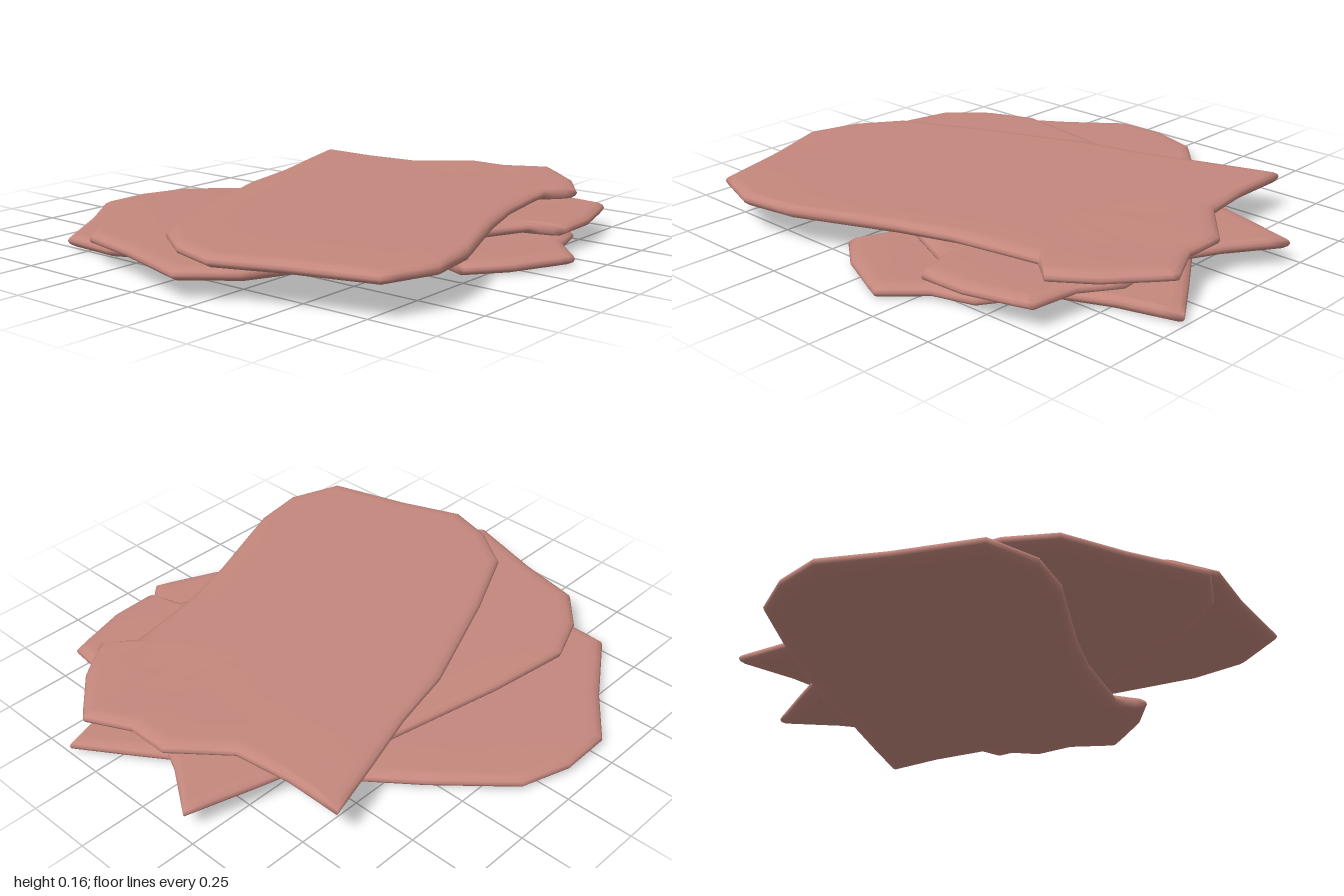
import * as THREE from 'three';

// Slice outline (x, z), clockwise seen from above, starting at the pointed corner
const OUTLINE = [
  [-0.59, -0.68], [-0.37, -0.68], [-0.15, -0.71], [0.04, -0.87], [0.2, -0.87], [0.36, -0.95],
  [0.41, -0.91], [0.55, -0.79], [0.65, -0.65], [0.57, -0.55], [0.63, -0.22], [0.7, 0.0], [0.85, 0.37],
  [0.88, 0.57], [0.81, 0.77], [0.51, 0.86], [0.28, 0.95], [0.1, 0.9], [-0.06, 0.79],
  [-0.2, 0.5], [-0.38, 0.06], [-0.44, -0.2], [-0.52, -0.45],
];
const CENTRE = [0.2, -0.3];
const HALF = 0.024;

// Split every outline edge into three
function denseOutline() {
  const points = [];
  OUTLINE.forEach(([x, z], i) => {
    const [nx, nz] = OUTLINE[(i + 1) % OUTLINE.length];
    for (let k = 0; k < 3; k++) points.push([x + (nx - x) * k / 3, z + (nz - z) * k / 3]);
  });
  return points;
}

// Shallow creases and dimples near the narrow end
function relief(x, z) {
  const bump = (cx, cz, rx, rz) => Math.exp(-(((x - cx) / rx) ** 2) - ((z - cz) / rz) ** 2);
  return 0.005 * bump(0.3, -0.72, 0.09, 0.07) + 0.004 * bump(0.25, -0.57, 0.25, 0.04)
    + 0.004 * bump(-0.45, -0.62, 0.2, 0.08);
}

function sliceGeometry() {
  // Rings: fraction of the radius, inset from the rim, height
  const lower = [0, 0.2, 0.4, 0.6, 0.8].map((f) => [f, 0.06, -HALF]);
  lower.push([1, 0.06, -HALF], [1, 0.025, -HALF * 0.85], [1, 0.006, -HALF * 0.45]);
  const upper = lower.map(([f, d, y]) => [f, d, -y]).reverse();
  const rings = [...lower, [1, 0, 0], ...upper];

  const outline = denseOutline();
  const n = outline.length;
  const positions = [];
  const index = [];
  rings.forEach(([f, inset, y], k) => {
    outline.forEach(([px, pz], i) => {
      const dx = px - CENTRE[0], dz = pz - CENTRE[1];
      const r = Math.hypot(dx, dz);
      const s = f * (r - inset) / r;
      const x = CENTRE[0] + dx * s, z = CENTRE[1] + dz * s;
      positions.push(x, y > HALF * 0.9 ? y - relief(x, z) : y, z);
      if (k < rings.length - 1) {
        const j = (i + 1) % n;
        const a = k * n + i, b = k * n + j, c = b + n, d = a + n;
        if (k < rings.length - 2) index.push(a, d, c);
        if (k > 0) index.push(a, c, b);
        else index.push(a, d, c);
        if (k === rings.length - 2) index.push(a, d, b);
      }
    });
  });
  const geometry = new THREE.BufferGeometry();
  geometry.setAttribute('position', new THREE.Float32BufferAttribute(positions, 3));
  geometry.setIndex(index.filter((_, t) => true));
  geometry.computeVertexNormals();
  return geometry;
}

export function createModel() {
  const model = new THREE.Group();
  model.name = 'meatSlices';
  const meat = new THREE.MeshStandardMaterial({ color: 0xc4877d });
  meat.name = 'meat pink';
  const geometry = sliceGeometry();

  // The same slice stacked three times, each fanned round
  const slices = [
    ['bottomSlice', 73.4, -0.09, 0.024, -0.238],
    ['middleSlice', 33.4, -0.08, 0.084, -0.095],
    ['topSlice', 0, 0, 0.135, 0],
  ];
  for (const [name, degrees, x, y, z] of slices) {
    const slice = new THREE.Mesh(geometry, meat);
    slice.name = name;
    slice.rotation.y = -THREE.MathUtils.degToRad(degrees);
    slice.position.set(x, y, z);
    model.add(slice);
  }
  return model;
}
